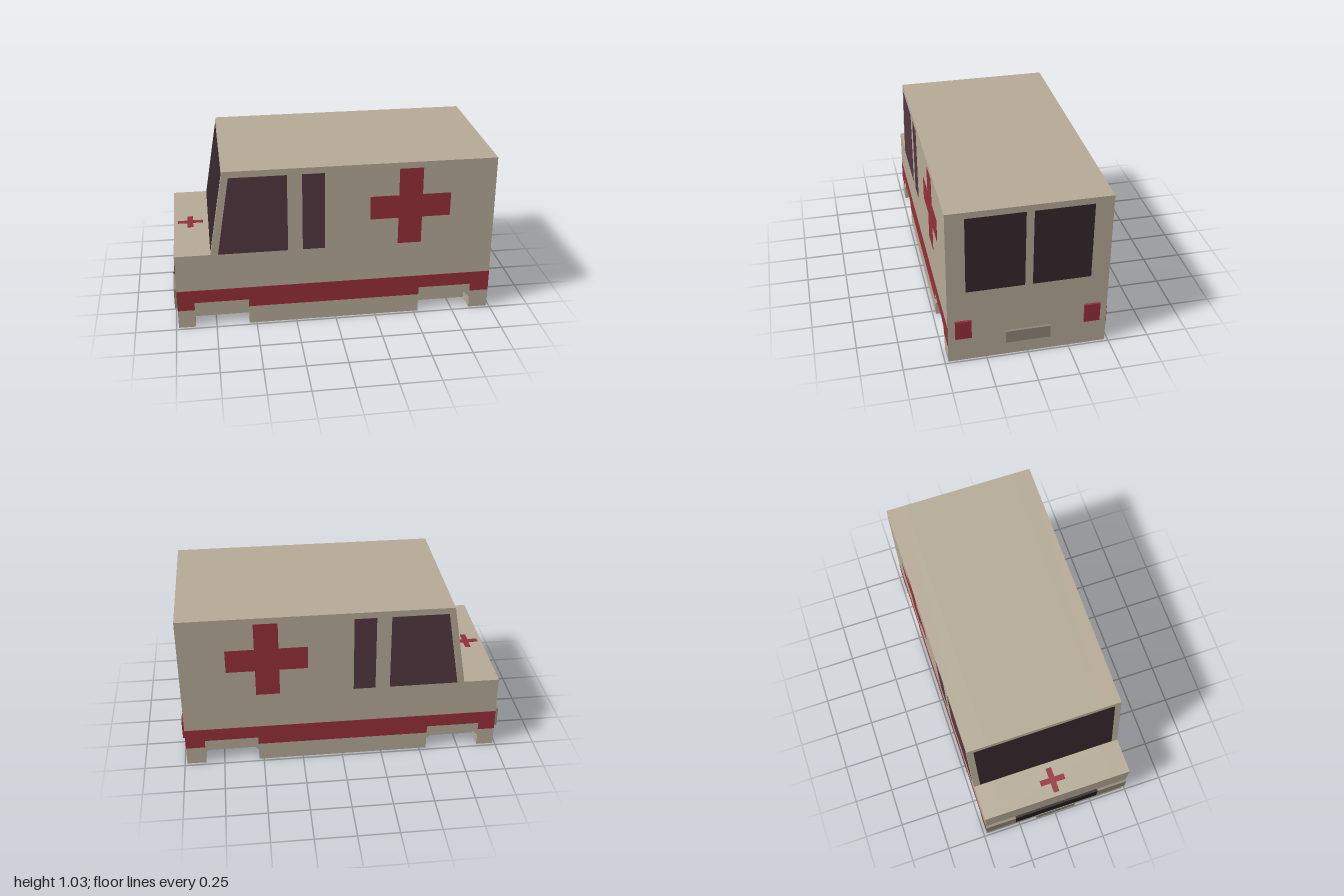
import * as THREE from 'three';

const mat = (color) => new THREE.MeshStandardMaterial({ color, flatShading: true });
const paint = mat(0xb5aa96), red = mat(0x942f38), sideGlass = mat(0x533842),
  darkGlass = mat(0x35272c), grey = mat(0x8f8676), black = mat(0x241c20);

const L = 0.985, W = 0.48, WELL = 0.125; // half length, half width, wheel well depth

export function createModel() {
  const model = new THREE.Group();
  model.name = 'van';

  const add = (name, geometry, material, x = 0, y = 0, z = 0) => {
    const mesh = new THREE.Mesh(geometry, material);
    mesh.name = name;
    mesh.position.set(x, y, z);
    model.add(mesh);
    return mesh;
  };
  const box = (name, material, x0, x1, y0, y1, z0, z1) =>
    add(name, new THREE.BoxGeometry(x1 - x0, y1 - y0, z1 - z0), material,
      (x0 + x1) / 2, (y0 + y1) / 2, (z0 + z1) / 2);
  // Side outline extruded along z from z0 to z1
  const slab = (name, material, points, z0, z1) => {
    const shape = new THREE.Shape(points.map(([x, y]) => new THREE.Vector2(x, y)));
    return add(name, new THREE.ExtrudeGeometry(shape, { depth: z1 - z0, bevelEnabled: false }),
      material, 0, 0, z0);
  };
  // Thin panel lying on each flank
  const onSides = (name, material, points) => {
    for (const s of [-1, 1]) slab(name, material, points, s * W - 0.002, s * W + 0.002);
  };
  const rect = (x0, x1, y0, y1) => [[x0, y0], [x1, y0], [x1, y1], [x0, y1]];
  const cross = (cx, cy, r, ax, ay) => [
    [-ax, -r], [ax, -r], [ax, -ay], [r, -ay], [r, ay], [ax, ay],
    [ax, r], [-ax, r], [-ax, ay], [-r, ay], [-r, -ay], [-ax, -ay],
  ].map(([x, y]) => [cx + x, cy + y]);

  // Body: plain core between two flanks cut by wheel wells
  const wells = [[-0.88, -0.545], [0.53, 0.865]];
  const roofline = [[L, 0], [L, 1.03], [-0.675, 1.03], [-0.765, 0.495], [-L, 0.495], [-L, 0]];
  const wellCuts = wells.flatMap(([a, b]) => [
    [a, 0], [a, 0.075], [a + 0.098, 0.17], [b - 0.098, 0.17], [b, 0.075], [b, 0],
  ]);
  slab('bodyCore', paint, roofline, -W + WELL, W - WELL);
  slab('leftFlank', paint, [...roofline, ...wellCuts], W - WELL, W);
  slab('rightFlank', paint, [...roofline, ...wellCuts], -W, -W + WELL);

  // Stripe, notched above the wheel wells
  const notches = wells.flatMap(([a, b]) => [[a, 0.12], [a, 0.17], [b, 0.17], [b, 0.12]]);
  onSides('sideStripe', red, [[L, 0.12], [L, 0.255], [-L, 0.255], [-L, 0.12], ...notches]);

  // Side windows and crosses
  onSides('cabWindow', sideGlass, [[-0.72, 0.495], [-0.295, 0.495], [-0.295, 0.99], [-0.64, 0.99]]);
  onSides('narrowWindow', sideGlass, rect(-0.205, -0.07, 0.495, 0.99));
  onSides('sideCross', red, cross(0.457, 0.743, 0.248, 0.073, 0.075));

  // Windscreen on the sloping face
  const screen = add('windscreen', new THREE.BoxGeometry(0.004, 0.505, 0.88), darkGlass, -0.7216, 0.753, 0);
  screen.rotation.z = -Math.atan2(0.09, 0.535);

  // Small cross lying on the bonnet
  const bonnetCross = slab('bonnetCross', red, cross(0, 0, 0.08, 0.018, 0.018), 0, 0.004);
  bonnetCross.rotation.x = -Math.PI / 2;
  bonnetCross.position.set(-0.88, 0.493, 0);

  // Nose: grille, headlights, number plate
  box('grille', black, -1, -L, 0.142, 0.275, -0.28, 0.28);
  box('frontPlate', grey, -1, -L, 0.03, 0.11, -0.135, 0.135);

  // Tail: windows, lamps, plate
  box('rearPlate', grey, L, 1, 0.095, 0.178, -0.135, 0.135);
  for (const s of [-1, 1]) {
    const pair = (a, b) => (s > 0 ? [a, b] : [-b, -a]);
    box('headlight', grey, -1, -L, 0.142, 0.275, ...pair(0.28, W));
    box('rearWindow', darkGlass, L - 0.002, L + 0.002, 0.495, 0.99, ...pair(0.023, 0.37));
    box('tailLight', red, L, 1, 0.17, 0.293, ...pair(0.34, 0.436));
  }
  return model;
}
